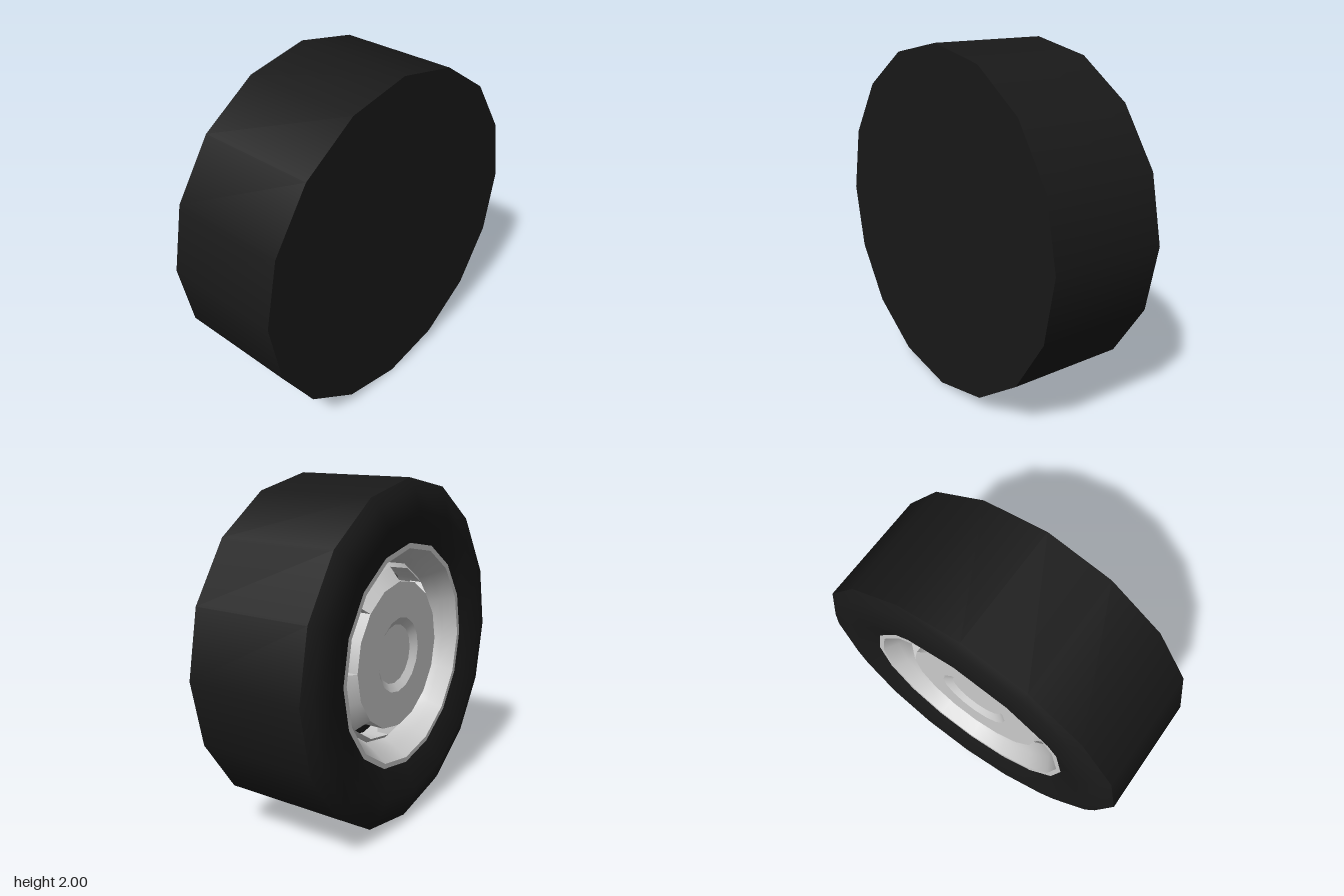
import * as THREE from 'three';

const SIDES = 16;

export function createModel() {
  const model = new THREE.Group();
  model.name = 'wheel';

  const rubber = new THREE.MeshStandardMaterial({ color: 0x191919, side: THREE.DoubleSide });
  const metal = new THREE.MeshStandardMaterial({ color: 0xcccccc, side: THREE.DoubleSide });

  // Profiles are [radius, height along the axle]; the axle is turned onto x below
  const wheel = new THREE.Group();
  wheel.name = 'wheelBody';
  wheel.rotation.z = Math.PI / 2;
  wheel.position.y = 1;
  model.add(wheel);

  function turn(name, profile, material, start = 0, length = Math.PI * 2) {
    const segments = Math.round(SIDES * length / (Math.PI * 2));
    const points = profile.map(([r, h]) => new THREE.Vector2(r, h));
    const mesh = new THREE.Mesh(new THREE.LatheGeometry(points, segments, start, length), material);
    mesh.name = name;
    wheel.add(mesh);
  }

  // Tyre: closed flat inner side, straight tread, rounded shoulder and sidewall
  turn('tyreBack', [[0, -0.39], [1, -0.39]], rubber);
  turn('tyreTread', [[1, -0.39], [1, 0.32]], rubber);
  turn('tyreSidewall', [[1, 0.32], [0.945, 0.355], [0.82, 0.39], [0.65, 0.33]], rubber);
  turn('innerPlate', [[0.53, 0.03], [0, 0.03]], rubber);

  // Rim: narrow lip and a tapering barrel
  turn('rimLip', [[0.65, 0.33], [0.62, 0.33]], metal);
  turn('rimBarrel', [[0.62, 0.33], [0.57, 0.25], [0.53, 0.17], [0.53, 0.03]], metal);

  // Hub: flat face with a recessed centre cap
  turn('hubEdge', [[0.53, 0.18], [0.505, 0.205]], metal);
  turn('hubFace', [[0.43, 0.27], [0.22, 0.27]], metal);
  turn('capBevel', [[0.22, 0.27], [0.175, 0.24]], metal);
  turn('centreCap', [[0.175, 0.24], [0, 0.24]], metal);

  // Sloping shoulder of the hub, broken by four slots
  const wallShape = new THREE.Shape([
    new THREE.Vector2(0.43, 0.27), new THREE.Vector2(0.505, 0.205),
    new THREE.Vector2(0.505, 0.13), new THREE.Vector2(0.43, 0.13),
  ]);
  const eighth = Math.PI / 4;
  for (let i = 0; i < 4; i++) {
    const start = i * 2 * eighth;
    turn('hubShoulder', [[0.505, 0.205], [0.43, 0.27]], metal, start, eighth);
    turn('slotInnerWall', [[0.43, 0.13], [0.43, 0.27]], metal, start + eighth, eighth);
    for (const angle of [start, start + eighth]) {
      const wall = new THREE.Mesh(new THREE.ShapeGeometry(wallShape), metal);
      wall.name = 'slotSideWall';
      wall.rotation.y = angle - Math.PI / 2;
      wheel.add(wall);
    }
  }

  return model;
}
